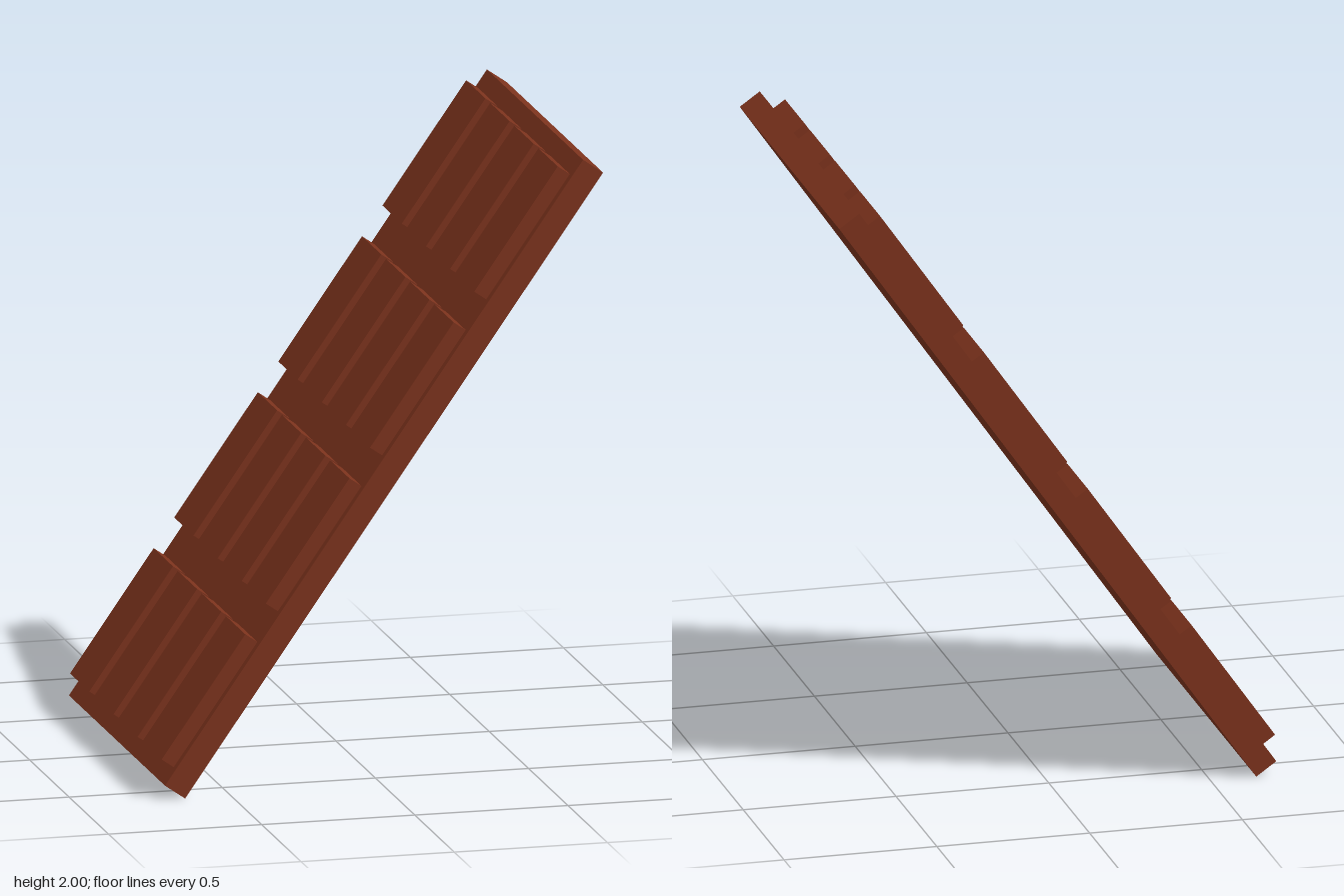
import * as THREE from 'three';

const TILT = THREE.MathUtils.degToRad(55.08);
const SLAB = { length: 2.384, thickness: 0.08, width: 1.22 };
const BLOCK = { length: 0.477, height: 0.048, width: 0.245 };
const ROWS = 4, COLUMNS = 4;
const ROW_PITCH = 0.594, COLUMN_PITCH = 0.306;

export function createModel() {
  const model = new THREE.Group();
  model.name = 'chocolateBar';
  const material = new THREE.MeshStandardMaterial({ color: 0x7b321c, flatShading: true });

  // Tilted bar: local x runs along the length, local y points out of the segmented face
  const bar = new THREE.Group();
  bar.name = 'tiltedBar';
  bar.position.y = 1;
  bar.rotation.z = TILT;
  model.add(bar);

  // Base slab
  const slab = new THREE.Mesh(
    new THREE.BoxGeometry(SLAB.length, SLAB.thickness, SLAB.width), material);
  slab.name = 'slab';
  bar.add(slab);

  // Grid of raised segments
  const segments = new THREE.Group();
  segments.name = 'segments';
  bar.add(segments);
  const blockGeometry = new THREE.BoxGeometry(BLOCK.length, BLOCK.height, BLOCK.width);
  for (let r = 0; r < ROWS; r++) {
    for (let c = 0; c < COLUMNS; c++) {
      const block = new THREE.Mesh(blockGeometry, material);
      block.name = `segment_${r + 1}_${c + 1}`;
      block.position.set(
        (r - (ROWS - 1) / 2) * ROW_PITCH,
        (SLAB.thickness + BLOCK.height) / 2,
        (c - (COLUMNS - 1) / 2) * COLUMN_PITCH);
      segments.add(block);
    }
  }
  return model;
}
